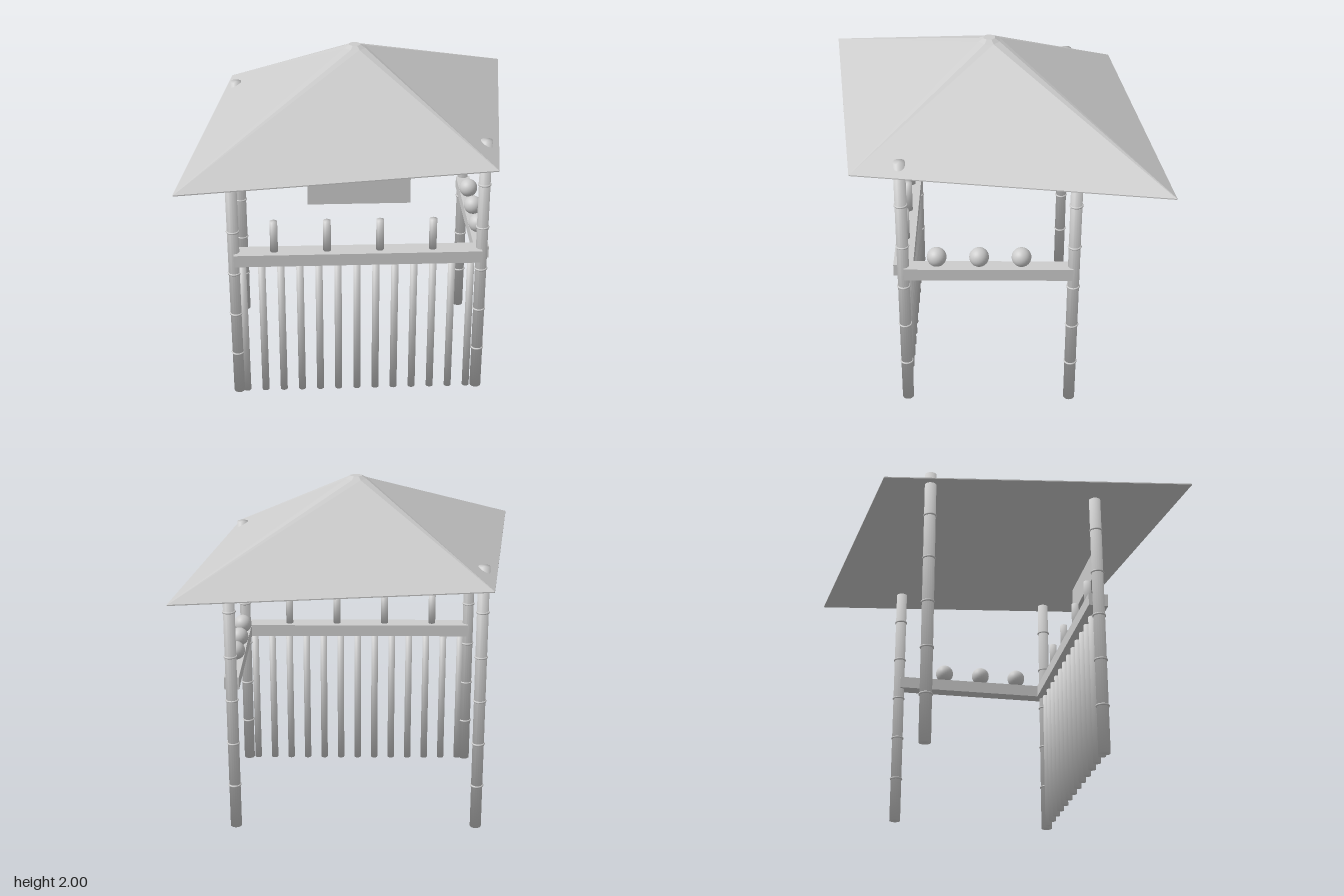
import * as THREE from 'three';

const grey = new THREE.MeshStandardMaterial({ color: 0xcccccc });
grey.name = 'plainGrey';

function add(parent, name, geometry, x, y, z) {
  const mesh = new THREE.Mesh(geometry, grey);
  mesh.name = name;
  mesh.position.set(x, y, z);
  parent.add(mesh);
  return mesh;
}

// Round pole standing on its base, with normals blended softly over both ends
function poleGeometry(radius, height) {
  const g = new THREE.CylinderGeometry(radius, radius, height, 16);
  const p = g.attributes.position;
  const n = new THREE.Vector3();
  for (let i = 0; i < p.count; i++) {
    n.set(p.getX(i) / radius, Math.sign(p.getY(i)), p.getZ(i) / radius).normalize();
    g.attributes.normal.setXYZ(i, n.x, n.y, n.z);
  }
  return g.translate(0, height / 2, 0);
}

// Skewed four-sided roof with narrow ridge facets and a small blunt octagonal top
function roofGeometry() {
  const corners = [[0.967, -0.967], [-0.737, -0.737], [-0.967, 0.967], [0.737, 0.737]];
  const ring = (r, y, spread) => Array.from({ length: 8 }, (_, k) => {
    const t = (k + 0.5) * Math.PI / 4;
    const c = corners[Math.floor(k / 2)];
    return [c[0] * spread + r * Math.cos(t), y, c[1] * spread - r * Math.sin(t)];
  });
  const rings = [ring(0.006, 1.535, 1), ring(0.006, 1.541, 1), ring(0.065, 1.984, 0), ring(0.035, 2, 0)];
  const v = [];
  const tri = (...pts) => pts.forEach((p) => v.push(...p));
  for (let k = 0; k < 8; k++) {
    const m = (k + 1) % 8;
    for (let i = 0; i < rings.length - 1; i++) {
      const a = rings[i], b = rings[i + 1];
      tri(a[k], a[m], b[m]);
      tri(a[k], b[m], b[k]);
    }
    tri([0, 1.535, 0], rings[0][m], rings[0][k]);
    tri([0, 2, 0], rings[3][k], rings[3][m]);
  }
  const g = new THREE.BufferGeometry();
  g.setAttribute('position', new THREE.Float32BufferAttribute(v, 3));
  g.computeVertexNormals();
  return g;
}

export function createModel() {
  const model = new THREE.Group();
  model.name = 'bambooStand';
  const px = 0.707, pz = 0.475;

  // Corner posts with bamboo joints
  const postGeo = poleGeometry(0.033, 1.602);
  const jointGeo = new THREE.TorusGeometry(0.033, 0.006, 8, 20).rotateX(Math.PI / 2);
  for (const sx of [-1, 1]) {
    for (const sz of [-1, 1]) {
      const post = new THREE.Group();
      post.name = 'cornerPost';
      post.position.set(sx * px, 0, sz * pz);
      add(post, 'postPole', postGeo, 0, 0, 0);
      for (let i = 1; i <= 5; i++) add(post, 'postJoint', jointGeo, 0, i * 0.267, 0);
      model.add(post);
    }
  }

  // Front wall of upright slats
  const slatGeo = poleGeometry(0.021, 0.87);
  for (let i = 0; i < 13; i++) add(model, 'frontSlat', slatGeo, -0.66 + i * 0.109, 0, pz);

  // Front counter and side shelf
  add(model, 'frontCounter', new THREE.BoxGeometry(1.41, 0.072, 0.11), 0, 0.901, pz);
  add(model, 'sideShelf', new THREE.BoxGeometry(0.085, 0.072, 0.94), px, 0.901, 0);

  // Cups on the counter, balls on the shelf
  const cupGeo = poleGeometry(0.022, 0.19);
  for (let i = 0; i < 4; i++) add(model, 'cup', cupGeo, -0.477 + i * 0.301, 0.935, pz);
  const ballGeo = new THREE.SphereGeometry(0.055, 24, 16);
  for (let i = 0; i < 3; i++) add(model, 'ball', ballGeo, px, 0.995, 0.287 - i * 0.235);

  // Blank hanging sign board
  add(model, 'signBoard', new THREE.BoxGeometry(0.563, 0.165, 0.023), 0, 1.372, 0.588);

  add(model, 'roof', roofGeometry(), 0, 0, 0);
  return model;
}
